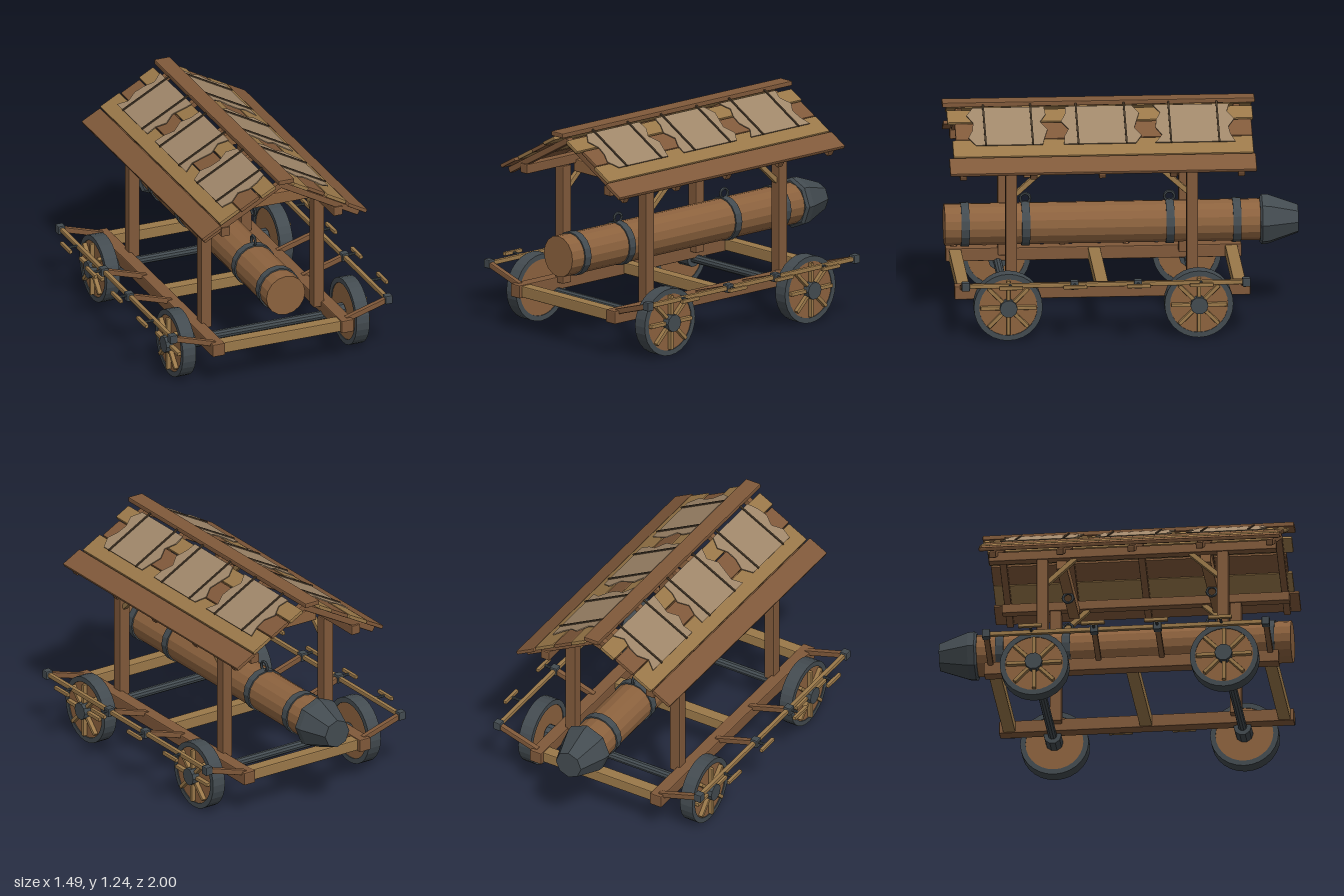
import * as THREE from 'three';
import { RoundedBoxGeometry } from 'three/addons/geometries/RoundedBoxGeometry.js';

const mat = (color, side = THREE.FrontSide) => new THREE.MeshStandardMaterial({ color, flatShading: true, side });
const DARK = mat(0x80593a), MID = mat(0x8c623e), LIGHT = mat(0x9a7849), IRON = mat(0x434b50);
const HIDE = mat(0xa0876a, THREE.DoubleSide), STRAP = mat(0x4a3c2c);

export function createModel() {
  const model = new THREE.Group();

  function group(name, parent = model) {
    const g = new THREE.Group();
    g.name = name;
    parent.add(g);
    return g;
  }
  function add(parent, name, geometry, material, x = 0, y = 0, z = 0) {
    const m = new THREE.Mesh(geometry, material);
    m.name = name;
    m.position.set(x, y, z);
    parent.add(m);
    return m;
  }
  // Timber with lightly chamfered edges
  function beam(parent, name, w, h, d, material, x, y, z) {
    const r = Math.min(0.006, Math.min(w, h, d) * 0.25);
    return add(parent, name, new RoundedBoxGeometry(w, h, d, 1, r), material, x, y, z);
  }
  // Timber running between two points
  function strut(parent, name, a, b, t, material) {
    const from = new THREE.Vector3(...a), to = new THREE.Vector3(...b);
    const m = beam(parent, name, t, t, from.distanceTo(to), material, 0, 0, 0);
    m.position.copy(from).add(to).multiplyScalar(0.5);
    m.lookAt(to);
    return m;
  }
  const rodX = (r, len, n = 12) => new THREE.CylinderGeometry(r, r, len, n).rotateZ(Math.PI / 2);
  const rodZ = (r, len, n = 12) => new THREE.CylinderGeometry(r, r, len, n).rotateX(Math.PI / 2);
  const sides = [1, -1];

  // Chassis
  const chassis = group('chassis');
  for (const s of sides) beam(chassis, 'sideBeam', 0.075, 0.075, 1.66, DARK, s * 0.393, 0.243, 0.122);
  for (const z of [0.9, 0.12, -0.65]) beam(chassis, 'crossBeam', 0.72, 0.065, 0.07, LIGHT, 0, 0.243, z);

  // Axles and wheels
  const spokeCount = 8;
  for (const z of [0.66, -0.41]) {
    const set = group('wheelSet');
    set.position.set(0, 0.195, z);
    add(set, 'axle', rodX(0.025, 1.0, 10), IRON);
    for (const s of sides) {
      add(set, 'axleCollar', rodX(0.05, 0.1, 10), IRON, s * 0.44);
      const rim = new THREE.Shape().absarc(0, 0, 0.193, 0, Math.PI * 2);
      rim.holes.push(new THREE.Path().absarc(0, 0, 0.163, 0, Math.PI * 2, true));
      const tyre = new THREE.ExtrudeGeometry(rim, { depth: 0.08, bevelEnabled: false, curveSegments: 14 });
      add(set, 'tyre', tyre.translate(0, 0, -0.04).rotateY(Math.PI / 2), IRON, s * 0.53);
      add(set, 'wheelDisc', rodX(0.167, 0.07, 14), MID, s * 0.53);
      add(set, 'hub', rodX(0.05, 0.05, 10), IRON, s * 0.583);
      for (let i = 0; i < spokeCount; i++) {
        const a = (i / spokeCount) * Math.PI * 2;
        const spoke = beam(set, 'spoke', 0.03, 0.115, 0.022, LIGHT,
          s * 0.575, Math.cos(a) * 0.1, Math.sin(a) * 0.1);
        spoke.rotation.x = a;
      }
    }
  }

  // Push rails with arms and T handles
  for (const s of sides) {
    const rail = group('pushRail');
    beam(rail, 'rail', 0.026, 0.026, 1.58, LIGHT, s * 0.655, 0.346, 0.117);
    for (const z of [0.905, 0.295, -0.062, -0.67]) {
      strut(rail, 'railArm', [s * 0.4, 0.268, z], [s * 0.645, 0.342, z], 0.032, DARK);
      beam(rail, 'railJoint', 0.045, 0.05, 0.045, IRON, s * 0.657, 0.346, z);
    }
    for (const z of [0.655, 0.295, -0.062, -0.415]) {
      add(rail, 'handleStem', rodX(0.008, 0.08, 8), IRON, s * 0.695, 0.351, z);
      beam(rail, 'handleGrip', 0.022, 0.022, 0.135, LIGHT, s * 0.732, 0.353, z);
    }
  }

  // Upright frame
  const frame = group('frame');
  for (const s of sides) {
    const x = s * 0.343;
    beam(frame, 'wallPlate', 0.056, 0.055, 1.62, DARK, x, 0.957, 0.122);
    for (const [z, dir] of [[0.63, -1], [-0.385, 1]]) {
      beam(frame, 'post', 0.065, 0.68, 0.065, DARK, x, 0.588, z);
      strut(frame, 'brace', [x, 0.79, z + dir * 0.025], [x, 0.935, z + dir * 0.185], 0.03, LIGHT);
    }
  }
  for (const z of [0.53, -0.28]) beam(frame, 'tieBeam', 0.67, 0.07, 0.06, MID, 0, 0.915, z);

  // Battering log with iron head, bands and suspension rings
  const ram = group('ram');
  const cy = 0.523;
  add(ram, 'log', rodZ(0.118, 1.805, 16), MID, 0, cy, 0.0825);
  const headProfile = [[0, 0], [0.13, 0], [0.147, 0.012], [0.143, 0.05], [0.082, 0.215], [0, 0.215]]
    .map(([r, h]) => new THREE.Vector2(r, h));
  add(ram, 'ramHead', new THREE.LatheGeometry(headProfile, 8).rotateX(-Math.PI / 2), IRON, 0, cy, -0.785);
  for (const z of [0.87, 0.53, -0.28, -0.655]) add(ram, 'band', rodZ(0.126, 0.046, 16), IRON, 0, cy, z);
  for (const z of [0.53, -0.28]) {
    const ring = new THREE.TorusGeometry(0.028, 0.008, 6, 14).rotateY(Math.PI / 2);
    add(ram, 'lowerRing', ring, IRON, 0, 0.668, z);
    add(ram, 'upperRing', ring, IRON, 0, 0.855, z);
  }

  // Roof: d runs down the slope from the ridge, h is the height above the rafters
  const roof = group('roof');
  const pitch = Math.atan(0.545), ridgeY = 1.18;
  function onSlope(mesh, s, d, h, z) {
    mesh.position.set(s * (d * Math.cos(pitch) + h * Math.sin(pitch)),
      ridgeY - d * Math.sin(pitch) + h * Math.cos(pitch), z);
    mesh.rotation.z = -s * pitch;
  }
  const rafterZ = [0.905, 0.51, 0.125, -0.275, -0.655];
  // Each board: slope centre, width, height, rear z, front z, material
  const boards = {
    1: [[0.484, 0.13, 0.034, -0.74, 0.98, DARK], [0.347, 0.135, 0.036, -0.73, 0.955, LIGHT],
      [0.21, 0.13, 0.034, -0.73, 0.935, DARK], [0.09, 0.1, 0.038, -0.74, 0.975, LIGHT]],
    '-1': [[0.484, 0.13, 0.034, -0.73, 0.965, DARK], [0.347, 0.135, 0.036, -0.74, 0.94, LIGHT],
      [0.21, 0.13, 0.034, -0.73, 0.95, DARK], [0.09, 0.1, 0.038, -0.745, 0.97, LIGHT]],
  };
  // Ragged hide outline, extruded thin and laid flat
  function hideGeometry(s, z0, z1, seed) {
    const n = 5, pts = [];
    const jag = (i, k) => 0.022 * Math.sin(i * 2.3 + seed * 1.7 + k);
    for (let i = 0; i <= n; i++) pts.push(new THREE.Vector2(s * (0.02 + 0.3 * i / n), -(z0 + jag(i, 0))));
    for (let i = n; i >= 0; i--) pts.push(new THREE.Vector2(s * (0.02 + 0.3 * i / n), -(z1 + jag(i, 2))));
    return new THREE.ExtrudeGeometry(new THREE.Shape(pts), { depth: 0.006, bevelEnabled: false })
      .rotateX(-Math.PI / 2);
  }
  const hides = [[-0.61, -0.2], [-0.085, 0.32], [0.435, 0.845]];
  const strapZ = [-0.54, -0.27, -0.02, 0.25, 0.505, 0.77];
  for (const s of sides) {
    for (const z of rafterZ) onSlope(beam(roof, 'rafter', 0.545, 0.036, 0.04, DARK, 0, 0, 0), s, 0.268, 0, z);
    for (const [d, w, h, z0, z1, m] of boards[s]) {
      onSlope(beam(roof, 'roofBoard', w, 0.022, z1 - z0, m, 0, 0, 0), s, d, h, (z0 + z1) / 2);
    }
    hides.forEach(([z0, z1], i) => {
      onSlope(add(roof, 'hide', hideGeometry(s, z0, z1, i + (s > 0 ? 0 : 3)), HIDE), s, 0.02, 0.058, 0);
    });
    for (const z of strapZ) {
      onSlope(add(roof, 'strap', new THREE.BoxGeometry(0.325, 0.008, 0.01), STRAP), s, 0.183, 0.067, z);
    }
  }
  beam(roof, 'ridgeCap', 0.096, 0.028, 1.753, DARK, 0, 1.229, 0.12);

  return model;
}
